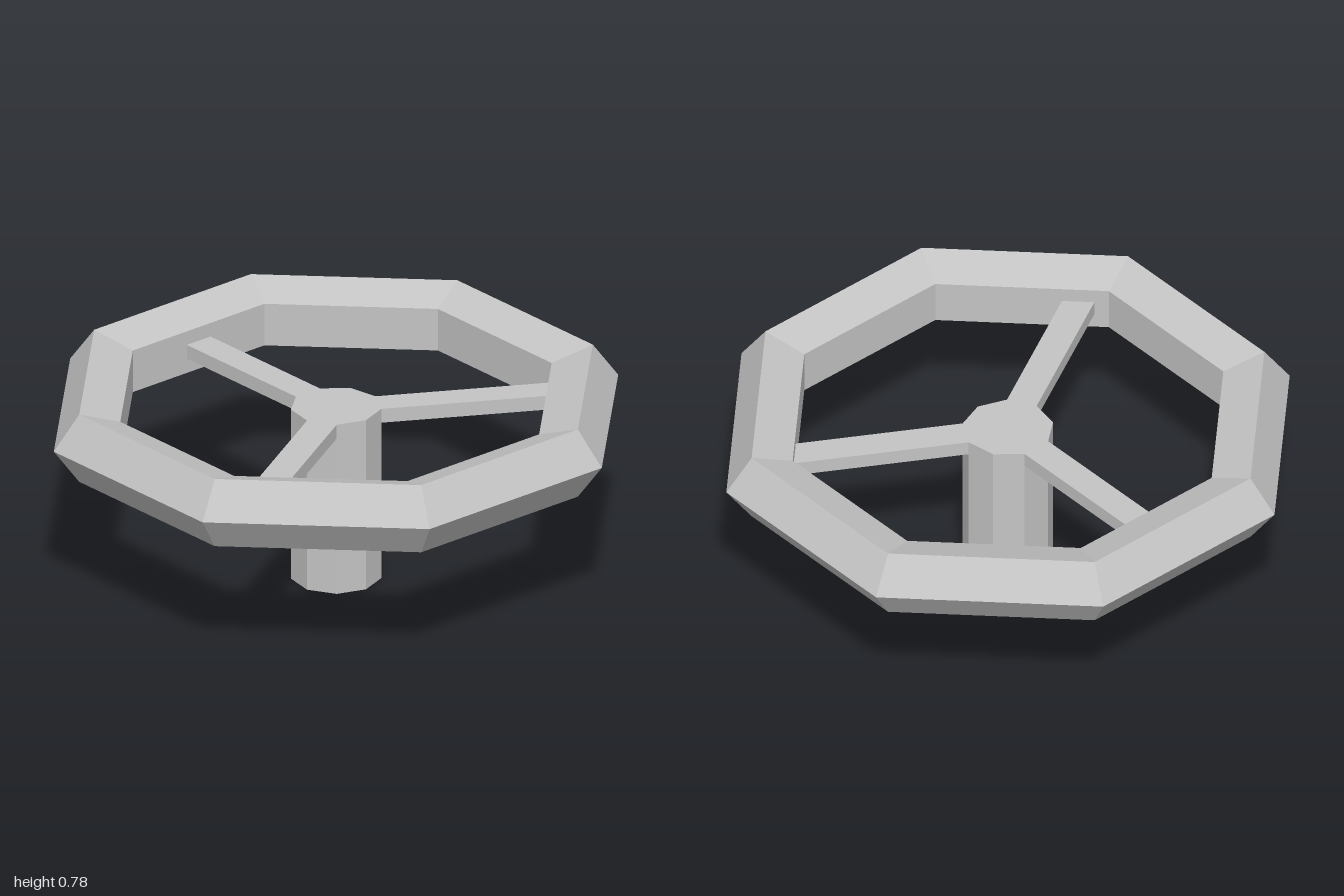
import * as THREE from 'three';

export function createModel() {
  const group = new THREE.Group();
  const metal = new THREE.MeshStandardMaterial({ color: 0xc4c4c4, flatShading: true });
  metal.name = 'grey metal';

  const add = (name, geometry, parent = group) => {
    const mesh = new THREE.Mesh(geometry, metal);
    mesh.name = name;
    parent.add(mesh);
    return mesh;
  };

  // Eight-sided rim with a five-sided section, flat sides facing the axes
  const rimY = 0.646;
  const rim = new THREE.TorusGeometry(0.941, 0.141, 5, 8);
  rim.rotateX(Math.PI / 2).rotateY(Math.PI / 8);
  add('rim', rim).position.y = rimY;

  // Nine-sided hub shaft, one corner facing the front
  const hubRadius = 0.167, top = 0.675;
  const hub = add('hub', new THREE.CylinderGeometry(hubRadius, hubRadius, top, 9));
  hub.position.y = top / 2;

  // Three spokes, each as wide as the hub face it grows from and sunk into the rim
  const start = hubRadius * Math.cos(Math.PI / 9), end = 0.84;
  const width = 2 * hubRadius * Math.sin(Math.PI / 9), thickness = 0.055;
  const spokes = new THREE.Group();
  spokes.name = 'spokes';
  group.add(spokes);
  for (let i = 0; i < 3; i++) {
    const spoke = new THREE.BoxGeometry(width, thickness, end - start);
    spoke.translate(0, top - thickness / 2, -(start + end) / 2);
    add('spoke', spoke, spokes).rotation.y = (i * Math.PI * 2) / 3;
  }
  return group;
}
